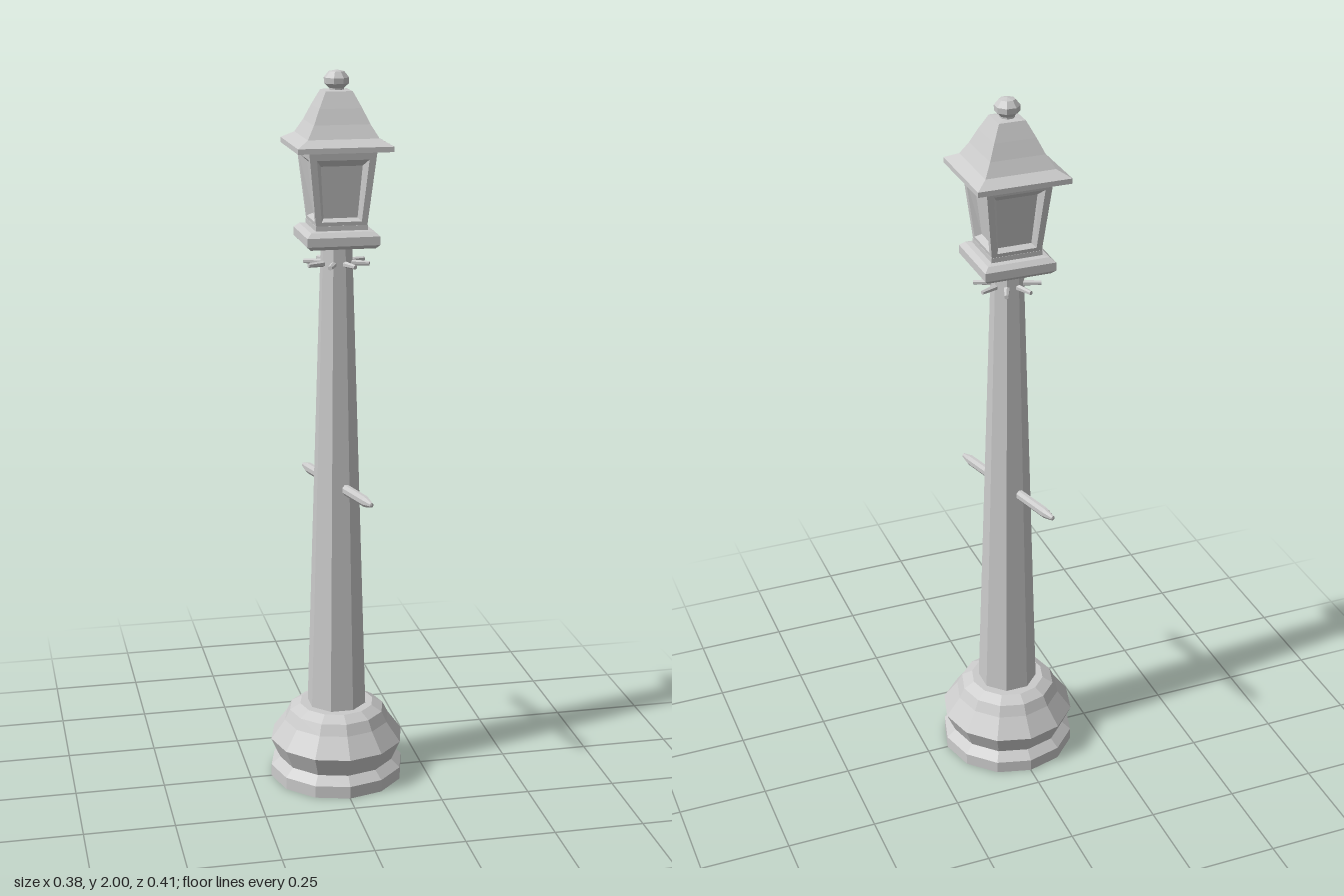
import * as THREE from 'three';

const material = new THREE.MeshStandardMaterial({ color: 0xcccccc, flatShading: true });

function add(parent, name, geometry) {
  const mesh = new THREE.Mesh(geometry, material);
  mesh.name = name;
  parent.add(mesh);
  return mesh;
}

// Turned part from [radius, height] pairs, listed from bottom to top
function turned(profile, sides) {
  return new THREE.LatheGeometry(profile.map(([r, y]) => new THREE.Vector2(r, y)), sides);
}

// Square part from [half width, height] pairs, faces square to the axes
function square(profile) {
  return turned(profile.map(([h, y]) => [h * Math.SQRT2, y]), 4).rotateY(Math.PI / 4);
}

// Skin between four-cornered loops, closed by the last loop
function loftLoops(loops) {
  const indices = [];
  for (let k = 0; k < loops.length - 1; k++) {
    for (let i = 0; i < 4; i++) {
      const j = (i + 1) % 4;
      const a = k * 4 + i, b = k * 4 + j, c = a + 4, d = b + 4;
      indices.push(a, b, d, a, d, c);
    }
  }
  const e = (loops.length - 1) * 4;
  indices.push(e, e + 1, e + 2, e, e + 2, e + 3);
  const geometry = new THREE.BufferGeometry();
  geometry.setAttribute('position', new THREE.Float32BufferAttribute(loops.flat(2), 3));
  geometry.setIndex(indices);
  geometry.computeVertexNormals();
  return geometry;
}

export function createModel() {
  const model = new THREE.Group();
  model.name = 'streetLamp';

  // Moulded foot
  add(model, 'base', turned([
    [0, 0], [0.19, 0], [0.19, 0.035], [0.165, 0.058], [0.19, 0.115],
    [0.15, 0.17], [0.135, 0.2], [0.105, 0.217], [0, 0.217],
  ], 12));

  // Tapered octagonal post, flat side to the front
  add(model, 'post', turned([[0.084, 0.21], [0.043, 1.545]], 8).rotateY(Math.PI / 8));

  // Ladder rest: flattened bar with tapered ends, turned slightly
  const bar = turned([
    [0, -0.212], [0.007, -0.21], [0.016, -0.175], [0.016, 0.175], [0.007, 0.21], [0, 0.212],
  ], 8);
  bar.rotateY(Math.PI / 8).rotateX(Math.PI / 2).scale(0.75, 1, 1).rotateY(0.26);
  add(model, 'ladderRest', bar).position.y = 0.865;

  // Ring of small pegs under the lantern
  const pegs = new THREE.Group();
  pegs.name = 'collarPegs';
  pegs.position.y = 1.49;
  model.add(pegs);
  for (let i = 0; i < 8; i++) {
    const peg = new THREE.CylinderGeometry(0.006, 0.009, 0.056, 6);
    peg.rotateX(Math.PI / 2).translate(0, 0, 0.062).rotateY((i + 0.5) * Math.PI / 4);
    add(pegs, 'peg', peg);
  }

  const lantern = new THREE.Group();
  lantern.name = 'lantern';
  model.add(lantern);

  // Bevelled plate and a thin step carrying the lantern body
  add(lantern, 'plate', square([
    [0, 1.54], [0.088, 1.54], [0.098, 1.55], [0.098, 1.573], [0.085, 1.585],
    [0.07, 1.587], [0.07, 1.6], [0, 1.6],
  ]));

  // Four leaning frames, each with a sunken pane
  const wall = (y) => 0.068 + (y - 1.59) * 0.11;
  const loop = (bottom, top, y0, y1, depth) => [
    [-bottom, y0, wall(y0) - depth], [bottom, y0, wall(y0) - depth],
    [top, y1, wall(y1) - depth], [-top, y1, wall(y1) - depth],
  ];
  const pane = loftLoops([
    loop(wall(1.59), wall(1.805), 1.59, 1.805, 0),
    loop(0.054, 0.07, 1.61, 1.775, 0),
    loop(0.046, 0.056, 1.618, 1.757, 0.018),
  ]);
  for (let i = 0; i < 4; i++) {
    add(lantern, 'framedPane', pane).rotation.y = i * Math.PI / 2;
  }

  // Flared roof with a closed underside
  add(lantern, 'roof', square([
    [0, 1.795], [0.127, 1.798], [0.127, 1.812], [0.095, 1.83],
    [0.075, 1.865], [0.057, 1.905], [0.036, 1.947], [0, 1.95],
  ]));

  // Faceted ball on top
  add(lantern, 'finial', turned([
    [0.02, 1.94], [0.02, 1.953], [0.033, 1.965], [0.034, 1.98], [0.021, 1.996], [0, 2],
  ], 8).rotateY(Math.PI / 8));

  return model;
}
